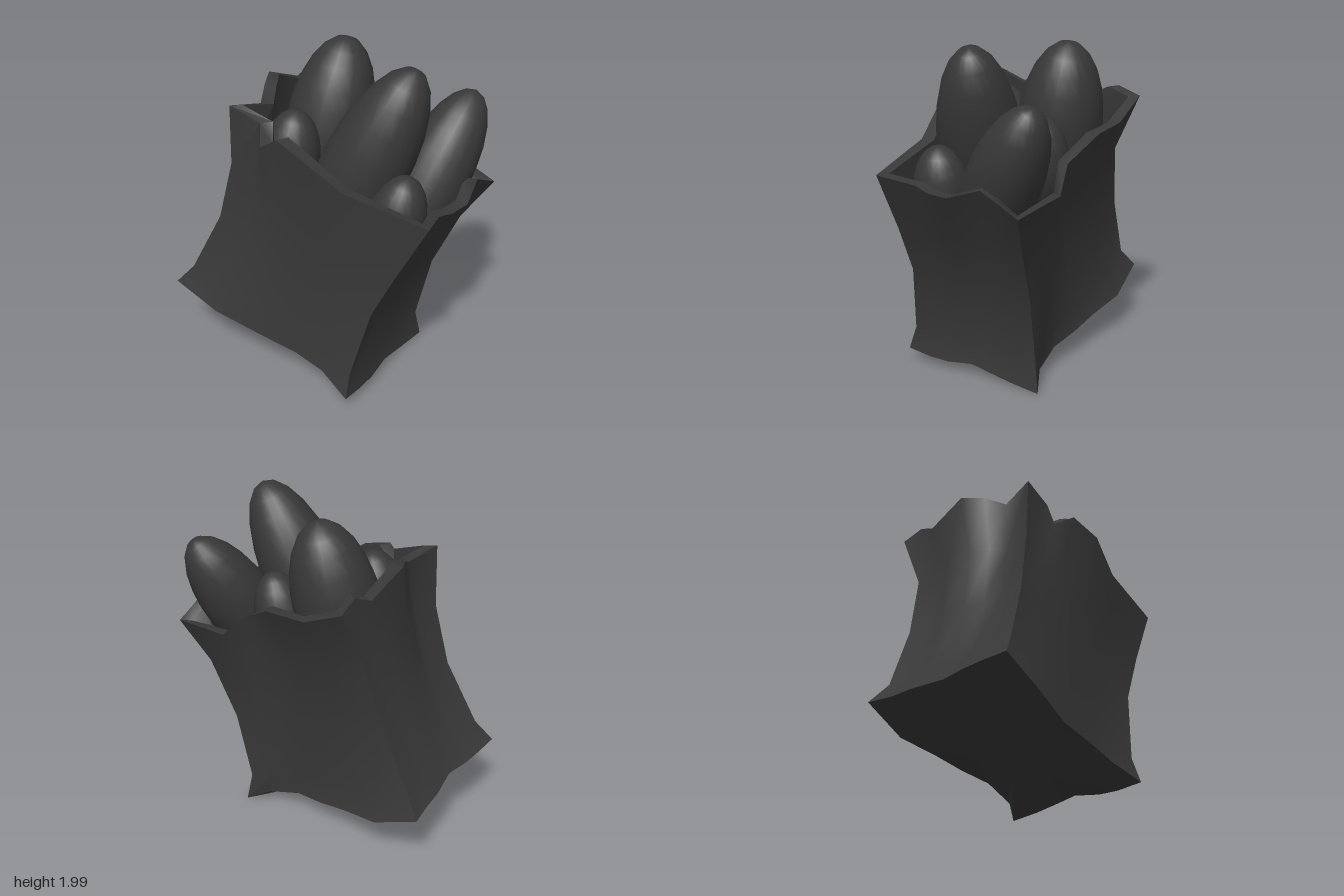
import * as THREE from 'three';
import { toCreasedNormals } from 'three/addons/utils/BufferGeometryUtils.js';

const V = (p) => new THREE.Vector3(...p);

// Four upright corner edges of the bag, bottom to top
const edges = [
  [[-0.93, 0.45, 0.28], [-0.82, 0.57, 0.26], [-0.63, 0.95, 0.25], [-0.54, 1.32, 0.25], [-0.53, 1.69, 0.26]],
  [[0.26, 0.08, 0.65], [0.27, 0.23, 0.60], [0.38, 0.65, 0.57], [0.52, 0.95, 0.60], [0.70, 1.31, 0.65]],
  [[0.52, 0.00, -0.21], [0.49, 0.17, -0.19], [0.58, 0.58, -0.18], [0.74, 0.94, -0.17], [0.92, 1.19, -0.19]],
  [[-0.69, 0.38, -0.60], [-0.61, 0.50, -0.52], [-0.45, 0.88, -0.49], [-0.34, 1.26, -0.50], [-0.26, 1.61, -0.65]],
].map((e) => e.map(V));

// Torn rim between the corners: front, +x side, back, -x side
const rim = [
  [[-0.335, 1.63, 0.31], [-0.325, 1.5, 0.35], [-0.2, 1.6, 0.43], [-0.02, 1.54, 0.52], [0.21, 1.395, 0.55]],
  [[0.71, 1.27, 0.43], [0.77, 1.25, 0.34], [0.83, 1.25, 0.22], [0.85, 1.31, 0.03], [0.88, 1.25, -0.08]],
  [[0.75, 1.23, -0.3], [0.57, 1.22, -0.34], [0.42, 1.36, -0.35], [0.23, 1.49, -0.49], [-0.02, 1.5, -0.57]],
  [[-0.29, 1.66, -0.52], [-0.35, 1.61, -0.42], [-0.45, 1.72, -0.19], [-0.43, 1.7, -0.05], [-0.41, 1.64, 0.08]],
].map((s) => s.map(V));

// Crumpled bottom edges in the same order
const base = [
  [[-0.79, 0.39, 0.32], [-0.65, 0.33, 0.36], [-0.37, 0.25, 0.4], [-0.1, 0.21, 0.47], [0.08, 0.16, 0.53]],
  [[0.31, 0.06, 0.5], [0.35, 0.06, 0.38], [0.39, 0.08, 0.22], [0.42, 0.05, 0.1], [0.46, 0.02, -0.04]],
  [[0.37, 0.065, -0.18], [0.16, 0.135, -0.235], [-0.02, 0.17, -0.33], [-0.2, 0.21, -0.41], [-0.42, 0.26, -0.53]],
  [[-0.71, 0.385, -0.45], [-0.74, 0.4, -0.33], [-0.76, 0.42, -0.13], [-0.83, 0.43, 0.0], [-0.88, 0.44, 0.13]],
].map((s) => s.map(V));

const SEG = 6;
const TOP = 4;

// One ring round the bag; the folds of rim and base fade towards the middle
function ring(level) {
  const up = (level / TOP) ** 2;
  const down = (1 - level / TOP) ** 2;
  const points = [];
  for (let side = 0; side < 4; side++) {
    const a = edges[side], b = edges[(side + 1) % 4];
    points.push(a[level].clone());
    for (let i = 1; i < SEG; i++) {
      const straight = (l) => a[l].clone().lerp(b[l], i / SEG);
      const p = straight(level);
      p.addScaledVector(rim[side][i - 1].clone().sub(straight(TOP)), up);
      p.addScaledVector(base[side][i - 1].clone().sub(straight(0)), down);
      points.push(p);
    }
  }
  return points;
}

const centre = (points) =>
  points.reduce((sum, p) => sum.add(p), new THREE.Vector3()).divideScalar(points.length);

// Inner wall: the ring drawn in sideways by the wall thickness
function inset(points) {
  const c = centre(points);
  return points.map((p) => {
    const d = new THREE.Vector3(c.x - p.x, 0, c.z - p.z);
    return p.clone().addScaledVector(d.normalize(), 0.075);
  });
}

function bagGeometry() {
  const outer = [0, 1, 2, 3, 4].map(ring);
  const rings = [...outer, ...[4, 3, 2, 1].map((l) => inset(outer[l]))];
  const n = rings[0].length;
  // The underside sags slightly at its centre
  const sag = centre(rings[0]).add(new THREE.Vector3(-0.01, -0.03, 0));
  const points = [...rings.flat(), sag, centre(rings.at(-1))];
  const bottom = rings.length * n, floor = bottom + 1;
  const index = [];
  for (let i = 0; i < n; i++) {
    const j = (i + 1) % n;
    for (let r = 0; r < rings.length - 1; r++) {
      const a = r * n + i, b = r * n + j;
      index.push(a, b, b + n, a, b + n, a + n);
    }
    const last = (rings.length - 1) * n;
    index.push(bottom, j, i, floor, last + i, last + j);
  }
  const g = new THREE.BufferGeometry().setFromPoints(points);
  g.setIndex(index);
  return toCreasedNormals(g, 0.85);
}

export function createModel() {
  const group = new THREE.Group();
  const material = new THREE.MeshStandardMaterial({ color: 0x383838 });

  const bag = new THREE.Mesh(bagGeometry(), material);
  bag.name = 'paperBag';
  group.add(bag);

  // Rounded loaves: centre, leaning axis, half length, radius
  const loaves = [
    ['tallLoaf', [0.225, 1.36, 0.185], [0.45, 1, -0.02], 0.69, 0.25],
    ['backLoaf', [-0.09, 1.43, -0.2], [0.19, 1, -0.14], 0.545, 0.255],
    ['sideLoaf', [0.58, 1.275, -0.025], [0.42, 1, -0.45], 0.54, 0.215],
    ['smallLeftLoaf', [-0.22, 1.34, 0.15], [0.15, 1, 0], 0.32, 0.175],
    ['smallFrontLoaf', [0.45, 1.15, 0.35], [0.25, 1, 0.03], 0.3, 0.17],
    ['smallBackLoaf', [0.26, 1.3, -0.17], [0.2, 1, -0.05], 0.29, 0.16],
  ];
  for (const [name, position, axis, halfLength, radius] of loaves) {
    const loaf = new THREE.Mesh(new THREE.SphereGeometry(1, 20, 12), material);
    loaf.name = name;
    loaf.position.set(...position);
    loaf.quaternion.setFromUnitVectors(new THREE.Vector3(0, 1, 0), V(axis).normalize());
    loaf.scale.set(radius, halfLength, radius);
    group.add(loaf);
  }
  return group;
}
